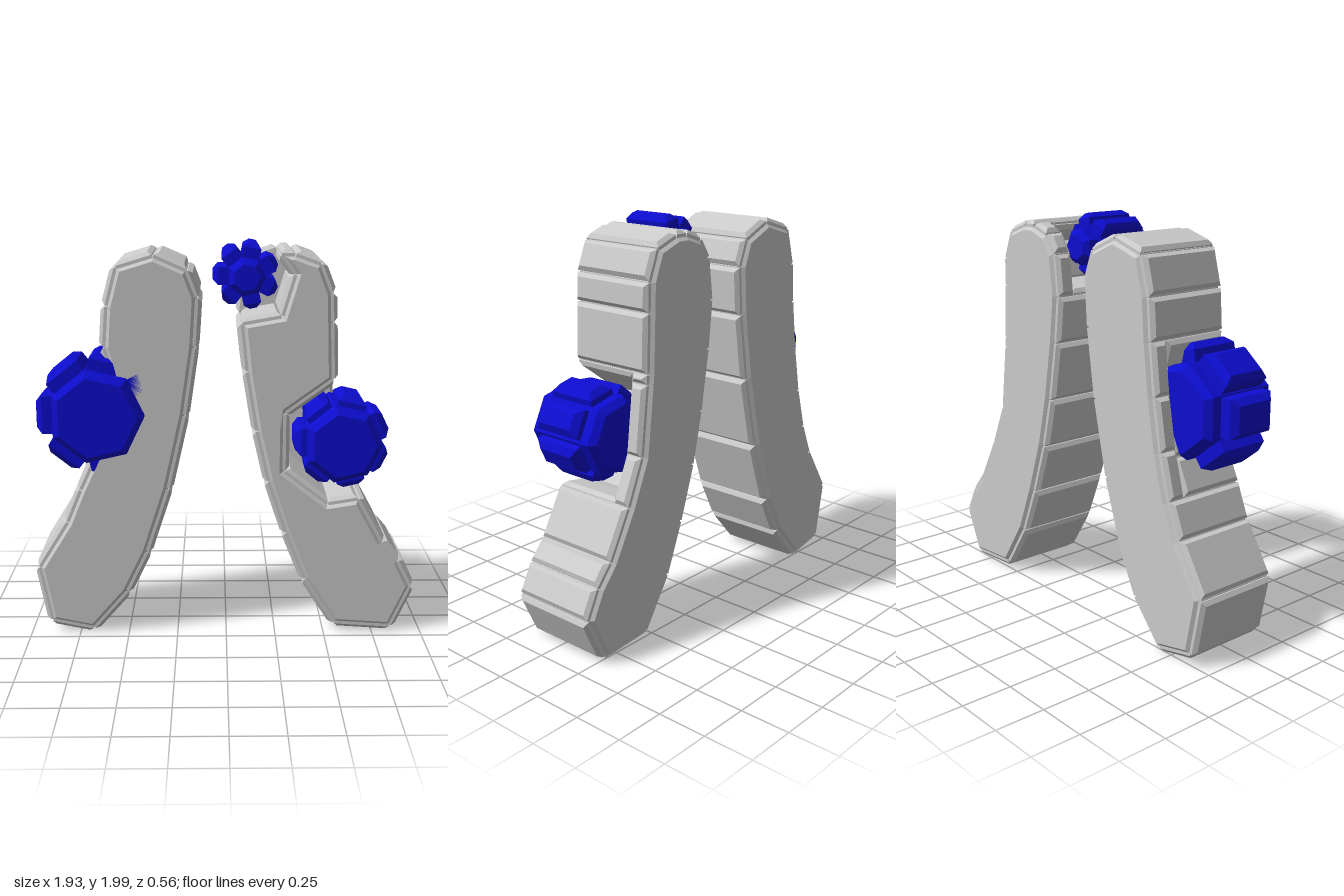
import * as THREE from 'three';

const grey = new THREE.MeshStandardMaterial({ color: 0xcccccc, flatShading: true });
const blue = new THREE.MeshStandardMaterial({ color: 0x0d0dd0, flatShading: true });

// Mitred inward offset of a counter-clockwise polygon
function inset(pts, d) {
  const n = pts.length;
  const normal = (a, b) => {
    const l = Math.hypot(b[0] - a[0], b[1] - a[1]);
    return [-(b[1] - a[1]) / l, (b[0] - a[0]) / l];
  };
  return pts.map((p, i) => {
    const u = normal(pts[(i + n - 1) % n], p), v = normal(p, pts[(i + 1) % n]);
    const k = d / (1 + u[0] * v[0] + u[1] * v[1]);
    return [p[0] + (u[0] + v[0]) * k, p[1] + (u[1] + v[1]) * k];
  });
}

// Capped solid through rings given as [inset, z], from low z to high z
function loft(pts, rings) {
  const n = pts.length, pos = [], idx = [];
  for (const [d, z] of rings) for (const p of inset(pts, d)) pos.push(p[0], p[1], z);
  for (let r = 0; r < rings.length - 1; r++) {
    for (let i = 0; i < n; i++) {
      const a = r * n + i, b = r * n + (i + 1) % n;
      idx.push(a, b, b + n, a, b + n, a + n);
    }
  }
  const top = (rings.length - 1) * n;
  const caps = THREE.ShapeUtils.triangulateShape(pts.map(p => new THREE.Vector2(...p)), []);
  for (const [a, b, c] of caps) idx.push(c, b, a, top + a, top + b, top + c);
  const g = new THREE.BufferGeometry();
  g.setAttribute('position', new THREE.Float32BufferAttribute(pos, 3));
  g.setIndex(idx);
  g.computeVertexNormals();
  return g;
}

function part(name, geometry, material) {
  const m = new THREE.Mesh(geometry, material);
  m.name = name;
  return m;
}

// Bevelled block whose base sits at (x, y) and which rises outward along the given angle
function block(name, material, x, y, angle, width, z0, z1, height, bevel) {
  const w = width / 2, d = (z1 - z0) / 2;
  const rings = [[0, -0.02], [0, height - bevel], [bevel, height]];
  const m = part(name, loft([[-w, -d], [w, -d], [w, d], [-w, d]], rings), material);
  const out = new THREE.Vector3(Math.cos(angle), Math.sin(angle), 0);
  const along = new THREE.Vector3(-out.y, out.x, 0);
  m.matrix.makeBasis(along, new THREE.Vector3(0, 0, 1), out).setPosition(x, y, (z0 + z1) / 2);
  m.matrix.decompose(m.position, m.quaternion, m.scale);
  return m;
}

// Curved slab: full back plate, front body with pockets, bevelled panels on every edge
function slab(name, runs) {
  const g = new THREE.Group();
  g.name = name;
  const back = runs.flatMap(r => r.edge), front = runs.flatMap(r => r.pocket ?? r.edge);
  const seam = -0.17;
  g.add(part('backPlate', loft(back, [[0.025, -0.28], [0, -0.255], [0, seam]]), grey));
  g.add(part('frontBody', loft(front, [[0, seam], [0, 0.175], [0.025, 0.2]]), grey));
  const edges = pts => pts.map((p, i) => [p, pts[(i + 1) % pts.length]]);
  const key = e => e.join('|');
  const backKeys = new Set(edges(back).map(key)), frontKeys = new Set(edges(front).map(key));
  const panel = ([a, b], z0, z1) => {
    const dx = b[0] - a[0], dy = b[1] - a[1];
    g.add(block('edgePanel', grey, (a[0] + b[0]) / 2, (a[1] + b[1]) / 2, Math.atan2(-dx, dy),
      Math.hypot(dx, dy) - 0.008, z0, z1, 0.024, 0.018));
  };
  for (const e of edges(front)) panel(e, backKeys.has(key(e)) ? -0.265 : seam, 0.185);
  for (const e of edges(back)) if (!frontKeys.has(key(e))) panel(e, -0.265, seam - 0.01);
  return g;
}

// Seven-sided hub with a tooth on each flat
function gear(name, x, y, hubRadius, toothRadius, toothWidth, bevel) {
  const g = new THREE.Group();
  g.name = name;
  g.position.set(x, y, 0);
  const hub = [];
  for (let i = 0; i < 7; i++) {
    const a = i * Math.PI * 2 / 7;
    hub.push([Math.cos(a) * hubRadius, Math.sin(a) * hubRadius]);
  }
  g.add(part('hub', loft(hub, [[bevel, -0.14], [0, -0.14 + bevel], [0, 0.28 - bevel], [bevel, 0.28]]), blue));
  for (let i = 0; i < 7; i++) {
    const a = (i + 0.5) * Math.PI * 2 / 7, r = hubRadius * 0.85;
    g.add(block('tooth', blue, Math.cos(a) * r, Math.sin(a) * r, a,
      toothWidth, -0.06, 0.2, toothRadius - r, bevel));
  }
  return g;
}

export function createModel() {
  const model = new THREE.Group();
  model.name = 'gearedSlabs';

  model.add(slab('leftSlab', [
    { edge: [[0.555, 0.06], [0.845, 0.04], [0.945, 0.26], [0.875, 0.4], [0.79, 0.5], [0.665, 0.73]] },
    { edge: [[0.57, 0.95], [0.53, 1.29]],
      pocket: [[0.51, 0.705], [0.29, 0.875], [0.29, 1.17]] },
    { edge: [[0.525, 1.34], [0.515, 1.62], [0.51, 1.76], [0.455, 1.9], [0.33, 1.945], [0.26, 1.945]] },
    { edge: [[0.16, 1.91], [0.1, 1.82]],
      pocket: [[0.33, 1.85], [0.27, 1.65]] },
    { edge: [[0.075, 1.615], [0.1, 1.38], [0.15, 1.08], [0.21, 0.82], [0.3, 0.55], [0.4, 0.3]] },
  ]));

  model.add(slab('rightSlab', [
    { edge: [[-0.68, 0.035], [-0.505, 0.235], [-0.4, 0.45], [-0.29, 0.785], [-0.205, 1.16], [-0.155, 1.5],
      [-0.14, 1.74], [-0.19, 1.87], [-0.35, 1.94], [-0.53, 1.885], [-0.58, 1.7], [-0.595, 1.5]] },
    { edge: [[-0.625, 1.25], [-0.67, 1.0]],
      pocket: [[-0.56, 1.36], [-0.54, 1.17], [-0.65, 0.95]] },
    { edge: [[-0.73, 0.78], [-0.8, 0.61], [-0.95, 0.37], [-0.895, 0.08]] },
  ]));

  model.add(gear('leftGear', 0.575, 1.025, 0.195, 0.235, 0.14, 0.03));
  model.add(gear('rightGear', -0.635, 1.167, 0.235, 0.3, 0.19, 0.03));
  model.add(gear('topGear', 0.095, 1.845, 0.092, 0.16, 0.085, 0.025));
  return model;
}
